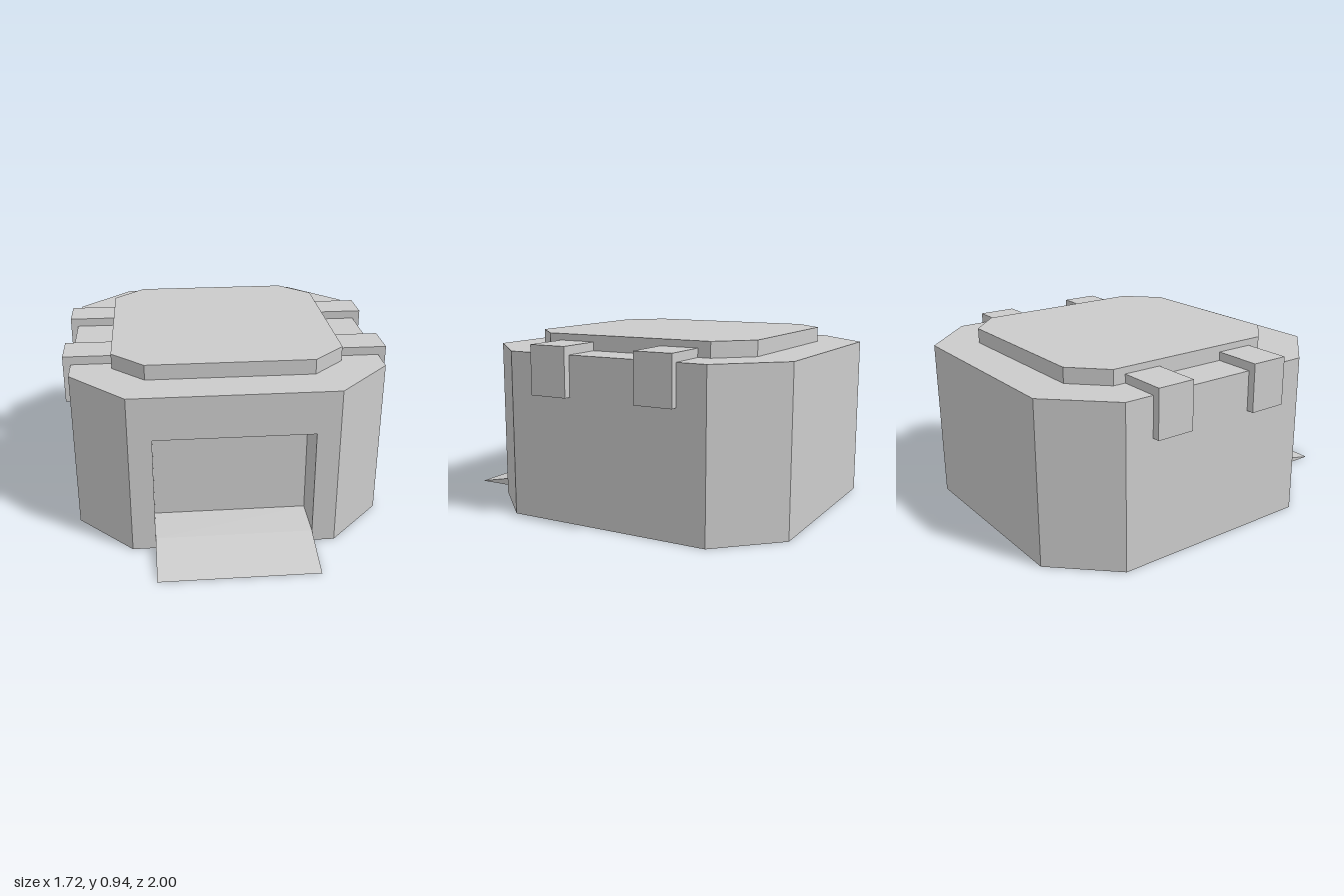
import * as THREE from 'three';

const material = new THREE.MeshStandardMaterial({ color: 0xcccccc, flatShading: true });

function addMesh(parent, name, geometry) {
  const mesh = new THREE.Mesh(geometry, material);
  mesh.name = name;
  parent.add(mesh);
  return mesh;
}

const toShape = (points) => new THREE.Shape(points.map(([a, b]) => new THREE.Vector2(a, b)));

// Rectangle with cut corners in (x, z), starting with the front edge and running counter-clockwise from above
function octagon(halfX, back, front, cutX, cutZ) {
  const x = halfX - cutX;
  return [
    [-x, front], [x, front], [halfX, front - cutZ], [halfX, back + cutZ],
    [x, back], [-x, back], [-halfX, back + cutZ], [-halfX, front - cutZ],
  ];
}

// Flat faces from corner loops, each split as a fan
function facesGeometry(faces) {
  const positions = [];
  for (const f of faces) {
    for (let i = 1; i < f.length - 1; i++) positions.push(...f[0], ...f[i], ...f[i + 1]);
  }
  const geometry = new THREE.BufferGeometry();
  geometry.setAttribute('position', new THREE.Float32BufferAttribute(positions, 3));
  geometry.computeVertexNormals();
  return geometry;
}

export function createModel() {
  const model = new THREE.Group();
  model.name = 'chamferedHousing';

  const height = 0.86, front = 0.71, back = -1;
  const doorHalf = 0.41, sill = 0.06, doorTop = 0.63, doorDepth = 0.24;

  // Body: side walls, roof and base
  const body = new THREE.Group();
  body.name = 'body';
  model.add(body);
  const plan = octagon(0.82, back, front, 0.29, 0.3);
  const low = plan.map(([x, z]) => [x, 0, z]);
  const high = plan.map(([x, z]) => [x, height, z]);
  const faces = [high, [...low].reverse()];
  for (let i = 1; i < 8; i++) {
    const j = (i + 1) % 8;
    faces.push([low[i], low[j], high[j], high[i]]);
  }
  addMesh(body, 'shell', facesGeometry(faces));

  // Front wall with the doorway opening
  const wall = toShape([[-0.53, 0], [0.53, 0], [0.53, height], [-0.53, height]]);
  wall.holes.push(toShape([
    [-doorHalf, sill], [-doorHalf, doorTop], [doorHalf, doorTop], [doorHalf, sill],
  ]));
  addMesh(body, 'frontWall', new THREE.ShapeGeometry(wall)).position.z = front;

  // Recess lining: floor, sides, ceiling and rear, facing inward
  const rim = [[-doorHalf, sill], [doorHalf, sill], [doorHalf, doorTop], [-doorHalf, doorTop]];
  const outer = rim.map(([x, y]) => [x, y, front]);
  const inner = rim.map(([x, y]) => [x, y, front - doorDepth]);
  const lining = [inner];
  for (let i = 0; i < 4; i++) {
    const j = (i + 1) % 4;
    lining.push([outer[i], outer[j], inner[j], inner[i]]);
  }
  addMesh(body, 'doorRecess', facesGeometry(lining));

  // Entrance ramp, a wedge profile in (z, y) swept across x
  const ramp = new THREE.ExtrudeGeometry(
    toShape([[front, 0], [1, 0], [front, sill]]),
    { depth: doorHalf * 2, bevelEnabled: false },
  );
  ramp.translate(0, 0, -doorHalf).rotateY(-Math.PI / 2);
  addMesh(model, 'ramp', ramp);

  // Raised roof plate
  const plate = new THREE.ExtrudeGeometry(
    toShape(octagon(0.605, -0.78, 0.49, 0.17, 0.167).map(([x, z]) => [x, -z])),
    { depth: 0.08, bevelEnabled: false },
  );
  plate.rotateX(-Math.PI / 2).translate(0, height, 0);
  addMesh(model, 'roofPlate', plate);

  // Clips folded over the roof edge, two on each side
  const clipProfile = [
    [0.605, height], [0.82, height], [0.82, 0.65], [0.86, 0.65], [0.86, 0.905], [0.605, 0.905],
  ];
  for (const [side, label] of [[1, 'left'], [-1, 'right']]) {
    for (const [z, place] of [[0.05, 'Front'], [-0.545, 'Rear']]) {
      const clip = new THREE.ExtrudeGeometry(
        toShape(clipProfile.map(([x, y]) => [x * side, y])),
        { depth: 0.205, bevelEnabled: false },
      );
      addMesh(model, `${label}${place}Clip`, clip).position.z = z;
    }
  }
  return model;
}
